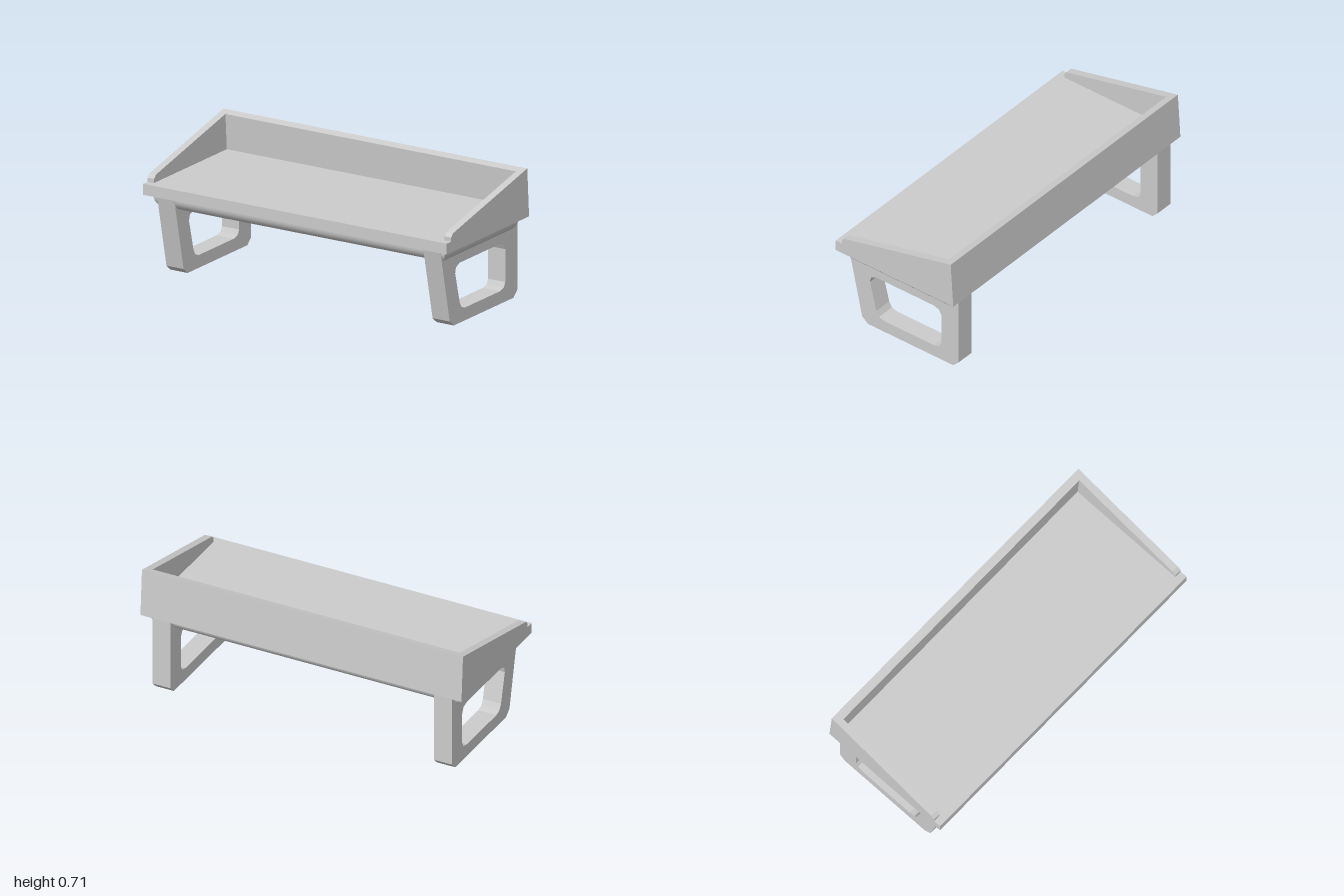
import * as THREE from 'three';
import { toCreasedNormals } from 'three/addons/utils/BufferGeometryUtils.js';

const material = new THREE.MeshStandardMaterial({ color: 0xcccccc });

// Shelf measures
const HALF_W = 0.946, HALF_D = 0.394, WALL = 0.041;
const FLOOR = 0.503, UNDER = 0.443;
const INNER = HALF_W - WALL;

const points = (list) => list.map(([z, y]) => new THREE.Vector2(z, y));

// Extrudes a clockwise side profile of [z, y] points across the width; a hole runs anticlockwise
function profileMesh(name, outline, width, x = 0, hole = null) {
  const shape = new THREE.Shape(points(outline));
  if (hole) shape.holes.push(new THREE.Path(points(hole)));
  const geometry = new THREE.ExtrudeGeometry(shape, { depth: width, bevelEnabled: false });
  geometry.translate(0, 0, -width / 2).rotateY(-Math.PI / 2);
  const mesh = new THREE.Mesh(geometry, material);
  mesh.name = name;
  mesh.position.x = x;
  return mesh;
}

// Floor and slightly leaning back wall
function createTray() {
  return profileMesh('floorAndBackWall', [
    [HALF_D, UNDER], [-HALF_D, UNDER], [-0.377, 0.71],
    [-0.332, 0.699], [-0.345, FLOOR], [HALF_D, FLOOR],
  ], INNER * 2);
}

// Sloping side wall with a small chamfered lip at the front
function createSideWall(side) {
  return profileMesh(side > 0 ? 'leftSideWall' : 'rightSideWall', [
    [HALF_D, UNDER], [-HALF_D, UNDER], [-0.377, 0.71], [0.332, 0.544],
    [0.351, 0.525], [0.351, FLOOR], [HALF_D, FLOOR],
  ], WALL, side * (INNER + WALL / 2));
}

// Shallow pan with rounded lower edges beneath the floor
function createPan() {
  const r = 0.065, hx = 0.907 - r, hz = 0.352 - r;
  const shape = new THREE.Shape(points([[-hx, -hz], [hx, -hz], [hx, hz], [-hx, hz]]));
  const geometry = new THREE.ExtrudeGeometry(shape, {
    depth: 0.005, bevelSize: r, bevelThickness: r, bevelSegments: 10,
  });
  geometry.rotateX(-Math.PI / 2).translate(0, 0.366 + r, 0);
  const mesh = new THREE.Mesh(toCreasedNormals(geometry, 0.5), material);
  mesh.name = 'underPan';
  return mesh;
}

// Loop leg with a slanted front and a chamfered opening
function createLeg(side) {
  const outline = [
    [0.358, UNDER], [0.267, 0.032], [0.228, 0], [-0.343, 0],
    [-0.379, 0.035], [-0.379, UNDER],
  ];
  const opening = [
    [-0.21, 0.329], [-0.248, 0.319], [-0.264, 0.287], [-0.264, 0.107],
    [-0.25, 0.08], [-0.213, 0.07], [0.12, 0.07], [0.154, 0.081],
    [0.172, 0.112], [0.215, 0.282], [0.207, 0.314], [0.172, 0.329],
  ];
  return profileMesh(side > 0 ? 'leftLeg' : 'rightLeg', outline, 0.107, side * 0.829, opening);
}

export function createModel() {
  const model = new THREE.Group();
  model.name = 'shelfStand';
  const body = new THREE.Group();
  body.name = 'shelf';
  body.add(createTray(), createPan());
  for (const side of [1, -1]) body.add(createSideWall(side), createLeg(side));
  // The whole stand is turned slightly about the vertical
  body.rotation.y = THREE.MathUtils.degToRad(10);
  model.add(body);
  return model;
}
